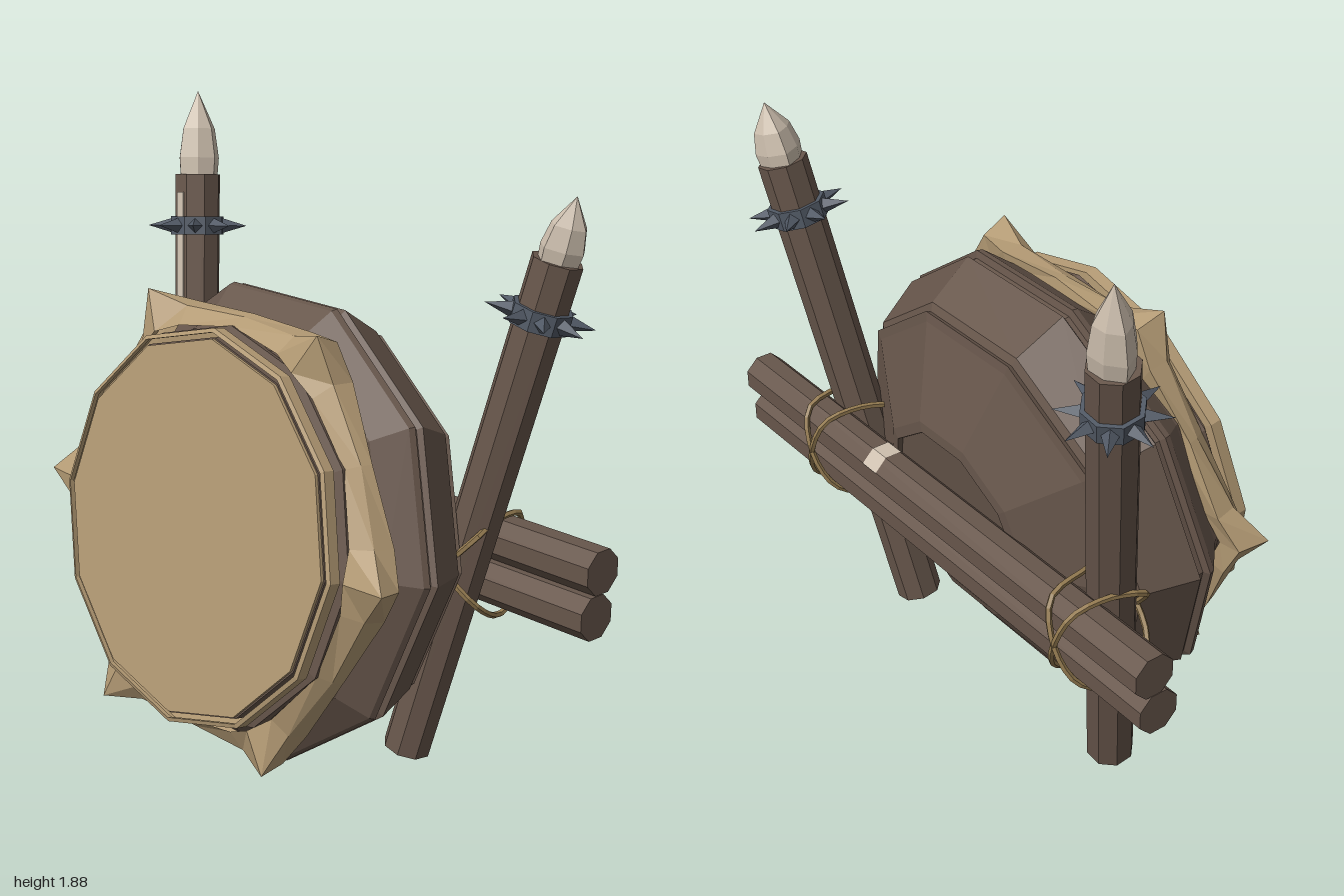
import * as THREE from 'three';

const mat = (name, color, side = THREE.FrontSide) => {
  const m = new THREE.MeshStandardMaterial({ color, flatShading: true, side });
  m.name = name;
  return m;
};
const wood = mat('dark wood', 0x67564b);
const hide = mat('tan hide', 0xb39a74, THREE.DoubleSide);
const steel = mat('blue grey steel', 0x515965);
const pale = mat('bone and bare wood', 0xcdbfae);
const cord = mat('rope', 0x937a50);

function add(parent, name, geometry, material) {
  const mesh = new THREE.Mesh(geometry, material);
  mesh.name = name;
  parent.add(mesh);
  return mesh;
}

function lathe(profile, sides, start = 0) {
  return new THREE.LatheGeometry(profile.map(([r, y]) => new THREE.Vector2(r, y)), sides, start);
}

// Stretched hide: a six-pointed ring lofted through four loops
function hideCollar() {
  const offsets = [0, 9, 30, 51];
  const loops = [ // radius and height at: point, beside point, middle, beside point
    { r: [0.66, 0.62, 0.6, 0.62], h: [0.11, 0.1, 0.1, 0.1] },
    { r: [0.735, 0.685, 0.65, 0.685], h: [0.12, 0.1, 0.115, 0.1] },
    { r: [0.76, 0.675, 0.64, 0.675], h: [0.215, 0.17, 0.15, 0.17] },
    { r: [0.62, 0.615, 0.61, 0.615], h: [0.23, 0.21, 0.19, 0.21] },
  ];
  const n = 24, pos = [], index = [];
  for (const { r, h } of loops) {
    for (let i = 0; i < n; i++) {
      const k = i % 4;
      const a = THREE.MathUtils.degToRad(Math.floor(i / 4) * 60 + offsets[k]);
      pos.push(r[k] * Math.cos(a), h[k], -r[k] * Math.sin(a));
    }
  }
  for (let j = 0; j < loops.length - 1; j++) {
    for (let i = 0; i < n; i++) {
      const a = j * n + i, b = j * n + (i + 1) % n;
      index.push(a, b, b + n, a, b + n, a + n);
    }
  }
  const g = new THREE.BufferGeometry();
  g.setAttribute('position', new THREE.Float32BufferAttribute(pos, 3));
  g.setIndex(index);
  g.computeVertexNormals();
  return g;
}

function makeDrum() {
  const drum = new THREE.Group();
  drum.name = 'drum';
  // Stepped ten-sided bowl
  add(drum, 'drumBody', lathe([
    [0, -0.37], [0.31, -0.37], [0.315, -0.385], [0.35, -0.378],
    [0.62, -0.24], [0.65, -0.23], [0.64, -0.215], [0.665, -0.2],
    [0.738, -0.035], [0.72, -0.025], [0.72, -0.01], [0.742, 0],
    [0.735, 0.02], [0.65, 0.1], [0.6, 0.18], [0, 0.18],
  ], 10, Math.PI / 10), wood);
  add(drum, 'hideCollar', hideCollar(), hide);
  add(drum, 'neckHoop', lathe([[0.6, 0.12], [0.615, 0.2], [0.58, 0.21], [0.58, 0.26], [0, 0.26]], 12), wood);
  add(drum, 'headRim', lathe([[0.58, 0.222], [0.608, 0.228], [0.608, 0.265], [0.595, 0.27], [0.595, 0.255]], 12), hide);
  add(drum, 'drumHead', lathe([[0.575, 0.25], [0.575, 0.27], [0, 0.27]], 12), hide);
  drum.position.set(0, 0.7, 0.1);
  drum.rotation.x = Math.PI / 2 - 0.164;
  return drum;
}

// Faceted bone point with a slightly uneven surface
function boneTip(height) {
  const g = lathe([[0, 0], [0.066, 0], [0.07, height * 0.2], [0.056, height * 0.55], [0, height]], 7);
  const p = g.attributes.position;
  for (let i = 0; i < p.count; i++) {
    const a = Math.atan2(p.getX(i), p.getZ(i)), k = 1 + 0.12 * Math.sin(3 * a + 1);
    p.setX(i, p.getX(i) * k);
    p.setZ(i, p.getZ(i) * k);
  }
  return g;
}

function makePost(name, bottom, top, tipHeight, stripped) {
  const post = new THREE.Group();
  post.name = name;
  const dir = top.clone().sub(bottom), len = dir.length();
  post.position.copy(bottom);
  post.quaternion.setFromUnitVectors(new THREE.Vector3(0, 1, 0), dir.normalize());
  add(post, 'shaft', new THREE.CylinderGeometry(0.078, 0.074, len, 8, 1, false, Math.PI / 8), wood)
    .position.y = len / 2;
  if (stripped) {
    const strip = add(post, 'bareWoodStrip', new THREE.BoxGeometry(0.032, len - 0.06, 0.008), pale);
    strip.position.set(0, len / 2 - 0.03, 0.0705);
    strip.rotation.x = 0.002;
  }
  add(post, 'boneTip', boneTip(tipHeight), pale).position.y = len;

  // Spiked collar
  const collar = new THREE.Group();
  collar.name = 'spikedCollar';
  collar.position.y = len - 0.17;
  add(collar, 'collarBand', new THREE.CylinderGeometry(0.092, 0.092, 0.06, 8, 1, false, Math.PI / 8), steel);
  for (let i = 0; i < 8; i++) {
    const arm = new THREE.Group();
    arm.rotation.y = i * Math.PI / 4;
    const spike = add(arm, 'spike', new THREE.ConeGeometry(0.026, 0.085, 4), steel);
    spike.rotation.z = -Math.PI / 2;
    spike.position.x = 0.122;
    collar.add(arm);
  }
  post.add(collar);
  return post;
}

// Two crossing rope loops around a post and both beams
function makeLashing(name, x) {
  const lashing = new THREE.Group();
  lashing.name = name;
  for (const s of [1, -1]) {
    const path = [
      [0.09, 0.77, -0.17], [0.07, 0.795, -0.28], [0.05, 0.775, -0.4], [0, 0.65, -0.428],
      [-0.05, 0.53, -0.385], [-0.07, 0.485, -0.3], [-0.09, 0.56, -0.16], [0, 0.66, -0.122],
    ].map(([dx, y, z]) => new THREE.Vector3(x + s * dx, y, z));
    const curve = new THREE.CatmullRomCurve3(path, true);
    add(lashing, 'ropeLoop', new THREE.TubeGeometry(curve, 28, 0.01, 5, true), cord);
  }
  return lashing;
}

export function createModel() {
  const model = new THREE.Group();
  model.name = 'warDrum';
  model.add(makeDrum());

  const v = (x, y, z) => new THREE.Vector3(x, y, z);
  model.add(makePost('rightPost', v(-0.57, 0.03, -0.12), v(-0.8, 1.61, -0.345), 0.275, true));
  model.add(makePost('leftPost', v(0.445, 0.03, -0.12), v(0.78, 1.585, -0.345), 0.19, false));

  // Pair of cross beams behind the drum
  for (const [name, y, z] of [['upperBeam', 0.71, -0.34], ['lowerBeam', 0.575, -0.32]]) {
    const beam = add(model, name, new THREE.CylinderGeometry(0.072, 0.072, 2, 8, 1, false, Math.PI / 8), wood);
    beam.rotation.z = Math.PI / 2;
    beam.position.set(0, y, z);
  }
  // Bare chip on the upper beam
  const chip = add(model, 'beamChip',
    new THREE.CylinderGeometry(0.075, 0.075, 0.07, 2, 1, true, Math.PI * 3 / 8, Math.PI / 2), pale);
  chip.rotation.z = Math.PI / 2;
  chip.position.set(0.275, 0.71, -0.34);

  model.add(makeLashing('rightLashing', -0.67));
  model.add(makeLashing('leftLashing', 0.58));
  return model;
}
